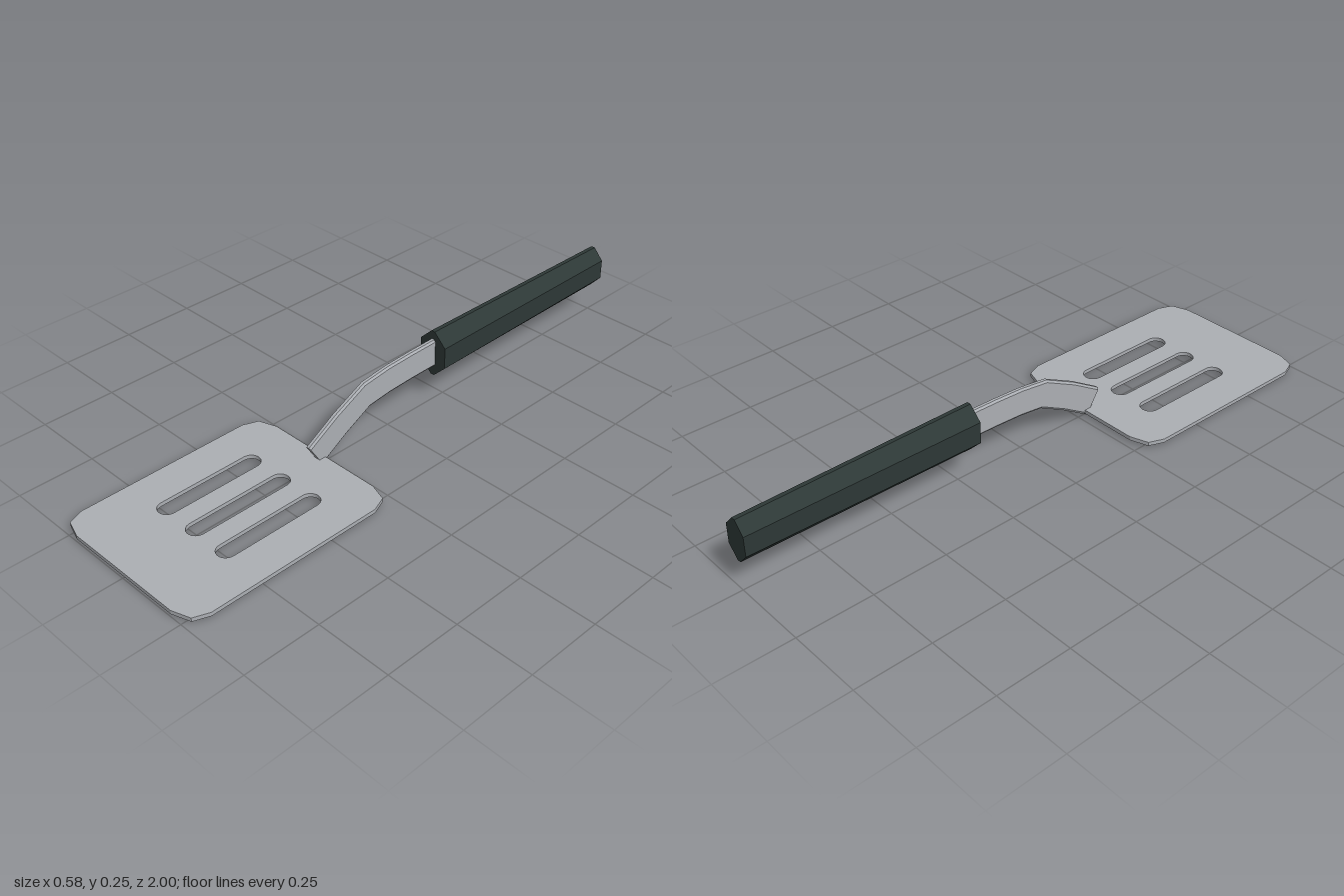
import * as THREE from 'three';

// Closed, faceted loft through rings of equal length, capped at both ends.
// Rings run anticlockwise seen from the front (+z) and are ordered back to front.
function loft(rings) {
  const pos = [];
  const tri = (a, b, c) => pos.push(...a, ...b, ...c);
  const n = rings[0].length;
  for (let r = 0; r < rings.length - 1; r++) {
    for (let i = 0; i < n; i++) {
      const j = (i + 1) % n;
      const a = rings[r][i], b = rings[r][j], c = rings[r + 1][j], d = rings[r + 1][i];
      tri(a, b, c);
      tri(a, c, d);
    }
  }
  const first = rings[0], last = rings[rings.length - 1];
  for (let i = 1; i < n - 1; i++) {
    tri(first[0], first[i + 1], first[i]);
    tri(last[0], last[i], last[i + 1]);
  }
  const geometry = new THREE.BufferGeometry();
  geometry.setAttribute('position', new THREE.Float32BufferAttribute(pos, 3));
  geometry.computeVertexNormals();
  return geometry;
}

// Tall octagon: half width w, half height h, half width f of the flat, half height s of the side
const octagon = (w, h, f, s) => [
  [w, -s], [w, s], [f, h], [-f, h], [-w, s], [-w, -s], [-f, -h], [f, -h],
];

export function createModel() {
  const model = new THREE.Group();
  model.name = 'spatula';
  const steel = new THREE.MeshStandardMaterial({ color: 0xacafb4 });
  steel.name = 'steel';
  const grip = new THREE.MeshStandardMaterial({ color: 0x2d3836 });
  grip.name = 'dark grip';
  const add = (name, geometry, material) => {
    const mesh = new THREE.Mesh(geometry, material);
    mesh.name = name;
    model.add(mesh);
    return mesh;
  };

  // Blade: plate with clipped corners and three long slots
  const hw = 0.29, hl = 0.365;
  const corner = [[hw, hl - 0.07], [hw - 0.02, hl - 0.02], [hw - 0.08, hl]];
  const mirror = (sx, sy) => corner.map(([x, y]) => new THREE.Vector2(x * sx, y * sy));
  const plate = new THREE.Shape([
    ...mirror(1, 1), ...mirror(-1, 1).reverse(), ...mirror(-1, -1), ...mirror(1, -1).reverse(),
  ]);
  const slotRadius = 0.031;
  for (const x of [-0.13, 0, 0.13]) {
    const slot = new THREE.Path();
    slot.absarc(x, 0.193, slotRadius, 0, Math.PI, false);
    slot.absarc(x, -0.113, slotRadius, Math.PI, Math.PI * 2, false);
    slot.closePath();
    plate.holes.push(slot);
  }
  const bladeGeometry = new THREE.ExtrudeGeometry(plate, {
    depth: 0.013, bevelEnabled: false, curveSegments: 8,
  });
  bladeGeometry.rotateX(-Math.PI / 2).translate(0, 0.015, 0.635);
  add('blade', bladeGeometry, steel);

  // Neck: flat bar bent down to the blade; stations are [z, y, tilt of section]
  const stations = [
    [-0.24, 0.18, 0], [-0.1, 0.178, 0.02], [0, 0.174, 0.06],
    [0.093, 0.163, 0.24], [0.2, 0.109, 0.48], [0.305, 0.046, 0.55],
  ];
  const bar = octagon(0.01, 0.048, 0.005, 0.041);
  add('neck', loft(stations.map(([z, y, tilt]) => bar.map(([u, v]) =>
    [u, y + v * Math.cos(tilt), z + v * Math.sin(tilt)]))), steel);

  // Handle: eight-sided grip, slightly slimmer at the back
  const handleRing = (z, w, h, s) =>
    octagon(w, h, 0.007, s).map(([x, y]) => [x, 0.177 + y, z]);
  add('handle', loft([
    handleRing(-1, 0.042, 0.071, 0.033),
    handleRing(-0.2, 0.051, 0.079, 0.036),
  ]), grip);

  return model;
}
